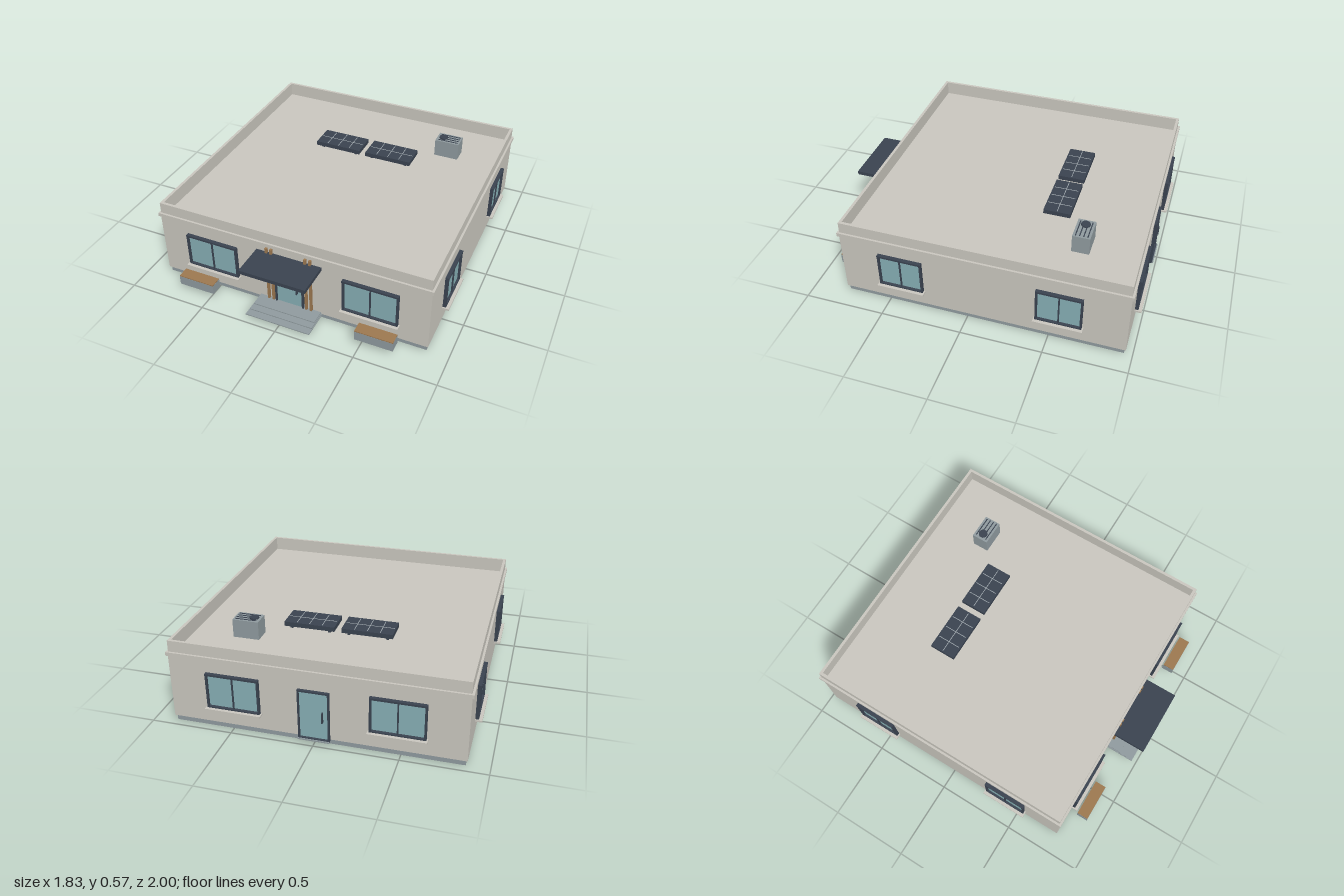
import * as THREE from 'three';

const material = (name, color) => {
  const m = new THREE.MeshStandardMaterial({ color });
  m.name = name;
  return m;
};

export function createModel() {
  const plaster = material('plaster', 0xc9c6be);
  const concrete = material('concrete', 0x8f9a9e);
  const dark = material('dark frame', 0x3a4350);
  const glass = material('glass', 0x86aeb4);
  const wood = material('wood', 0x9c7850);
  const lines = material('panel lines', 0xa3abb0);

  const house = new THREE.Group();
  house.name = 'house';
  const CZ = -0.086, HALF = 0.873, ROOF = 0.445;

  // Box given by its lower and upper limits on each axis
  const box = (parent, name, mat, x0, x1, y0, y1, z0, z1) => {
    const mesh = new THREE.Mesh(new THREE.BoxGeometry(x1 - x0, y1 - y0, z1 - z0), mat);
    mesh.position.set((x0 + x1) / 2, (y0 + y1) / 2, (z0 + z1) / 2);
    mesh.name = name;
    parent.add(mesh);
    return mesh;
  };
  const group = (parent, name, x = 0, y = 0, z = 0) => {
    const g = new THREE.Group();
    g.name = name;
    g.position.set(x, y, z);
    parent.add(g);
    return g;
  };
  const block = (name, mat, half, y0, y1) =>
    box(house, name, mat, -half, half, y0, y1, CZ - half, CZ + half);

  // Square ring used for the parapet and the ledge
  const ring = (name, outer, inner, y0, y1) => {
    const square = (h, T) => new T([[-h, -h], [h, -h], [h, h], [-h, h]].map(p => new THREE.Vector2(...p)));
    const shape = square(outer, THREE.Shape);
    shape.holes.push(square(inner, THREE.Path));
    const geo = new THREE.ExtrudeGeometry(shape, { depth: y1 - y0, bevelEnabled: false });
    geo.rotateX(-Math.PI / 2);
    const mesh = new THREE.Mesh(geo, plaster);
    mesh.position.set(0, y0, CZ);
    mesh.name = name;
    house.add(mesh);
  };

  // Body
  block('plinth', concrete, 0.863, 0, 0.035);
  block('walls', plaster, HALF, 0.035, ROOF);
  ring('parapet', 0.87, 0.852, ROOF, 0.535);
  ring('ledge', 0.883, 0.86, 0.442, 0.465);

  // Facades: local z = 0 is the wall surface, pointing outward
  const facade = (name, angle) => {
    const g = group(house, name, Math.sin(angle) * HALF, 0, CZ + Math.cos(angle) * HALF);
    g.rotation.y = angle;
    return g;
  };
  const front = facade('frontFacade', 0);
  const back = facade('backFacade', Math.PI);
  const leftSide = facade('leftFacade', Math.PI / 2);
  const rightSide = facade('rightFacade', -Math.PI / 2);

  const addWindow = (parent, x, width) => {
    const g = group(parent, 'window', x);
    const w = width / 2, t = 0.012, y0 = 0.14, y1 = 0.364;
    box(g, 'windowGlass', glass, -w + t, w - t, y0 + t, y1 - t, -0.002, 0.007);
    for (const s of [-1, 1]) box(g, 'frameSide', dark, s * (w - t / 2) - t / 2, s * (w - t / 2) + t / 2, y0, y1, -0.002, 0.021);
    box(g, 'frameTop', dark, -w, w, y1 - t, y1, -0.002, 0.023);
    box(g, 'frameBottom', dark, -w, w, y0, y0 + t * 0.7, -0.002, 0.021);
    box(g, 'mullion', dark, -0.004, 0.004, y0, y1, -0.002, 0.016);
    box(g, 'windowSill', plaster, -w - 0.009, w + 0.009, 0.13, 0.141, -0.002, 0.041);
  };
  const addDoor = (parent) => {
    const g = group(parent, 'door');
    const w = 0.093, t = 0.01, y1 = 0.345;
    box(g, 'doorGlass', glass, -w + t, w - t, 0.03, y1 - t, -0.002, 0.007);
    for (const s of [-1, 1]) box(g, 'doorJamb', dark, s * (w - t / 2) - t / 2, s * (w - t / 2) + t / 2, 0.025, y1, -0.002, 0.018);
    box(g, 'doorHead', dark, -w, w, y1 - t, y1, -0.002, 0.018);
    box(g, 'threshold', dark, -w, w, 0.022, 0.036, -0.002, 0.022);
    box(g, 'doorHandle', dark, 0.049, 0.056, 0.15, 0.215, 0.007, 0.026);
  };
  for (const s of [-1, 1]) {
    addWindow(front, s * 0.517, 0.345);
    addWindow(back, s * 0.483, 0.322);
  }
  for (const z of [0.407, -0.56]) {
    addWindow(leftSide, -(z - CZ), 0.276);
    addWindow(rightSide, z - CZ, 0.276);
  }
  addDoor(front);
  addDoor(back);
  box(back, 'backDoorStep', concrete, -0.093, 0.093, 0.024, 0.032, 0, 0.029);

  // Entrance canopy, wooden slats and steps
  box(house, 'canopy', dark, -0.21, 0.21, 0.376, 0.4, 0.78, 1);
  for (const s of [-1, 1]) for (const x of [0.11, 0.141])
    box(house, 'woodSlat', wood, s * x - 0.007, s * x + 0.007, 0.045, 0.433, 0.78, 0.803);
  [0.97, 0.925, 0.88].forEach((z, i) =>
    box(house, 'entranceStep', concrete, -0.21 + i * 0.004, 0.21 - i * 0.004, 0.03 + i * 0.006, 0.036 + i * 0.006, 0.776, z));

  // Benches with wooden tops
  for (const s of [-1, 1]) {
    const g = group(house, 'bench', s * 0.586);
    box(g, 'benchBase', concrete, -0.119, 0.119, 0.048, 0.108, 0.836, 0.91);
    box(g, 'benchTop', wood, -0.118, 0.118, 0.108, 0.114, 0.837, 0.909);
  }

  // Solar panels on short feet
  for (const s of [-1, 1]) {
    const g = group(house, 'solarPanel', s * 0.18, 0, -0.395);
    box(g, 'panelSlab', dark, -0.158, 0.158, 0.466, 0.494, -0.084, 0.084);
    for (const x of [-0.079, 0, 0.079]) box(g, 'panelLine', lines, x - 0.002, x + 0.002, 0.494, 0.4955, -0.075, 0.075);
    box(g, 'panelLine', lines, -0.15, 0.15, 0.494, 0.4955, -0.002, 0.002);
    for (const x of [-0.12, 0.12]) box(g, 'panelFoot', dark, x - 0.008, x + 0.008, ROOF, 0.466, -0.06, 0.06);
  }

  // Rooftop cooling unit
  const unit = group(house, 'coolingUnit', 0.516, 0, -0.603);
  box(unit, 'unitCase', concrete, -0.081, 0.081, ROOF, 0.56, -0.053, 0.053);
  const fan = new THREE.Mesh(new THREE.CylinderGeometry(0.028, 0.028, 0.008, 20), dark);
  fan.position.set(-0.038, 0.564, 0);
  fan.name = 'unitFan';
  unit.add(fan);
  for (let i = 0; i < 4; i++) {
    const z = -0.036 + i * 0.024;
    box(unit, 'unitSlat', dark, -0.065, 0.07, 0.56, 0.563, z - 0.003, z + 0.003);
  }

  return house;
}
